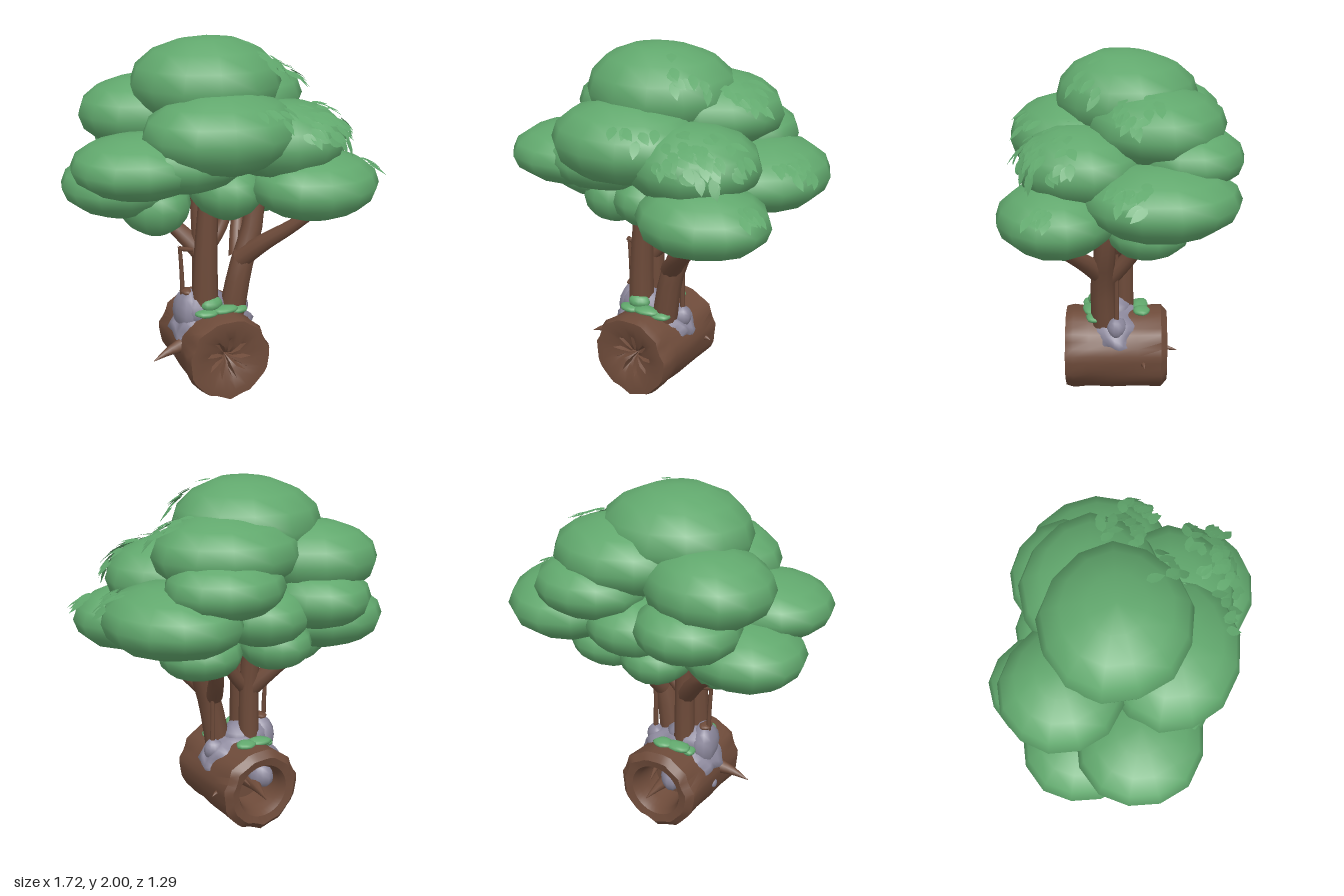
import * as THREE from 'three';
import { mergeVertices, mergeGeometries, toCreasedNormals } from 'three/addons/utils/BufferGeometryUtils.js';

const V = (a) => new THREE.Vector3(...a);

export function createModel() {
  const group = new THREE.Group();
  const mat = (name, color, side = THREE.FrontSide) => {
    const m = new THREE.MeshStandardMaterial({ color, side });
    m.name = name;
    return m;
  };
  const green = mat('leaf green', 0x61a86d, THREE.DoubleSide);
  const brown = mat('bark brown', 0x6e4b3a);
  const grey = mat('stone grey', 0x8c889c, THREE.DoubleSide);

  let seed = 7;
  const rand = () => (seed = (seed * 16807) % 2147483647) / 2147483647;

  const add = (name, geometry, material, parent = group) => {
    const m = new THREE.Mesh(geometry, material);
    m.name = name;
    parent.add(m);
    return m;
  };

  // Rounded low-poly lump, gently uneven
  const lump = (name, c, r, material, parent, wobble = 0.03) => {
    let g = new THREE.SphereGeometry(1, 13, 8);
    g.deleteAttribute('uv');
    g.deleteAttribute('normal');
    g = mergeVertices(g, 1e-4);
    const p = g.attributes.position;
    const phase = c[0] * 9 + c[1] * 5 + c[2] * 7;
    for (let i = 0; i < p.count; i++) {
      const v = new THREE.Vector3().fromBufferAttribute(p, i);
      const k = 1 + wobble * Math.sin(3 * v.x + phase) * Math.cos(4 * v.z - phase);
      p.setXYZ(i, c[0] + v.x * r[0] * k, c[1] + v.y * r[1] * k, c[2] + v.z * r[2] * k);
    }
    g.computeVertexNormals();
    return add(name, g, material, parent);
  };

  // Tapering limb along a smooth path
  const limb = (name, pts, r0, r1, parent, sides = 10, steps = 8) => {
    const curve = new THREE.CatmullRomCurve3(pts.map(V));
    const g = new THREE.TubeGeometry(curve, steps, 1, sides);
    const p = g.attributes.position;
    for (let i = 0; i < p.count; i++) {
      const t = Math.floor(i / (sides + 1)) / steps;
      const c = curve.getPointAt(t);
      const v = new THREE.Vector3().fromBufferAttribute(p, i).sub(c);
      v.multiplyScalar(r0 + (r1 - r0) * t).add(c);
      p.setXYZ(i, v.x, v.y, v.z);
    }
    return add(name, g, brown, parent);
  };

  // Canopy clumps: centre, radii
  const crown = {
    topClump: [[-0.05, 1.745, -0.03], [0.42, 0.255, 0.39]],
    upperBackClump: [[0.16, 1.64, -0.19], [0.41, 0.21, 0.37]],
    frontClump: [[-0.07, 1.53, 0.26], [0.43, 0.22, 0.35]],
    frontLeftClump: [[0.29, 1.46, 0.2], [0.37, 0.21, 0.34]],
    midFrontClump: [[-0.25, 1.39, 0.2], [0.33, 0.17, 0.3]],
    lowFrontLeftClump: [[0.44, 1.22, 0.32], [0.36, 0.185, 0.32]],
    rightClump: [[-0.49, 1.37, 0.17], [0.37, 0.17, 0.33]],
    upperRightClump: [[-0.36, 1.57, -0.25], [0.35, 0.205, 0.32]],
    lowRightClump: [[-0.5, 1.2, -0.13], [0.35, 0.18, 0.32]],
    backRightClump: [[-0.31, 1.38, -0.36], [0.28, 0.17, 0.29]],
    leftClump: [[0.49, 1.33, -0.21], [0.36, 0.19, 0.42]],
    backClump: [[0.27, 1.5, -0.36], [0.32, 0.17, 0.29]],
    midBackClump: [[0.03, 1.32, -0.36], [0.25, 0.16, 0.23]],
    underRightClump: [[-0.35, 1.09, -0.04], [0.2, 0.17, 0.22]],
    underFrontClump: [[0.0, 1.19, 0.12], [0.2, 0.17, 0.25]],
    underLeftClump: [[0.3, 1.1, -0.15], [0.23, 0.145, 0.23]],
    underBackClump: [[-0.08, 1.14, -0.3], [0.2, 0.14, 0.2]],
  };
  const canopy = new THREE.Group();
  canopy.name = 'canopy';
  group.add(canopy);
  for (const [name, [c, r]] of Object.entries(crown)) lump(name, c, r, green, canopy);

  // Pointed, curved leaves lying over a clump around a chosen direction
  const leafShape = () => {
    const s = new THREE.Shape();
    s.moveTo(0, 0);
    s.quadraticCurveTo(0.055, 0.03, 0, 0.11);
    s.quadraticCurveTo(-0.055, 0.03, 0, 0);
    const g = new THREE.ShapeGeometry(s, 4);
    const p = g.attributes.position;
    for (let i = 0; i < p.count; i++) p.setZ(i, -1.5 * p.getY(i) ** 2);
    g.computeVertexNormals();
    return g;
  };
  const leaves = (clump, dir, spread, count) => {
    const [c, r] = crown[clump].map(V);
    const parts = [];
    for (let i = 0; i < count; i++) {
      const d = V(dir).normalize();
      d.add(new THREE.Vector3(rand() - 0.5, rand() - 0.5, rand() - 0.5).multiplyScalar(spread)).normalize();
      const n = d.clone().divide(r).normalize();
      const tip = new THREE.Vector3(0.6 + 0.9 * (rand() - 0.5), -0.5, 0.3 + 1.2 * (rand() - 0.5));
      tip.addScaledVector(n, -tip.dot(n)).normalize().addScaledVector(n, 0.25).normalize();
      const x = tip.clone().cross(n).normalize();
      const z = x.clone().cross(tip);
      const at = d.clone().multiply(r).add(c).addScaledVector(n, 0.004);
      const m = new THREE.Matrix4().makeBasis(x, tip, z).setPosition(at);
      parts.push(leafShape().scale(1, 0.75 + 0.3 * rand(), 1).applyMatrix4(m));
    }
    add(clump + 'Leaves', mergeGeometries(parts), green, canopy);
  };
  leaves('topClump', [0.6, 0.6, 0.4], 0.6, 9);
  leaves('upperBackClump', [0.72, 0.65, 0.3], 0.7, 20);
  leaves('frontLeftClump', [0.4, 0.7, 0.55], 1.1, 42);
  leaves('frontClump', [0.5, 0.6, 0.6], 0.5, 7);
  leaves('lowFrontLeftClump', [0.7, 0.65, 0.2], 0.5, 9);
  leaves('leftClump', [0.62, 0.65, 0.4], 0.6, 20);

  // Trunks and branches
  const wood = new THREE.Group();
  wood.name = 'trunks';
  group.add(wood);
  limb('rightTrunk', [[-0.11, 0.42, 0.09], [-0.105, 0.75, 0.09], [-0.08, 1.25, 0.09]], 0.08, 0.05, wood);
  limb('leftTrunk', [[0.05, 0.42, 0.09], [0.1, 0.7, 0.1], [0.18, 0.95, 0.08], [0.22, 1.25, 0.04]], 0.075, 0.05, wood);
  limb('backTrunk', [[-0.09, 0.42, -0.02], [-0.09, 0.8, -0.02], [-0.1, 1.2, -0.05]], 0.06, 0.05, wood);
  limb('leftBranch', [[0.1, 0.76, 0.1], [0.2, 0.87, 0.19], [0.31, 0.97, 0.28], [0.41, 1.07, 0.36]], 0.06, 0.03, wood);
  limb('rightBranch', [[-0.09, 0.78, -0.01], [-0.17, 0.87, -0.07], [-0.27, 0.97, -0.14], [-0.38, 1.03, -0.21]], 0.06, 0.03, wood);
  limb('backBranch', [[0.1, 0.75, 0.05], [0.14, 0.88, -0.05], [0.2, 1.05, -0.16]], 0.05, 0.035, wood);
  limb('innerBranch', [[-0.08, 0.78, 0.0], [0.02, 0.9, -0.02], [0.1, 1.08, -0.04]], 0.04, 0.03, wood);

  // Thin hanging twigs
  limb('rightTwig', [[-0.22, 0.5, 0.03], [-0.225, 0.7, 0.03], [-0.235, 0.85, 0.03]], 0.014, 0.011, wood, 6, 4);
  limb('rightTwigTop', [[-0.245, 0.84, 0.03], [-0.21, 0.83, 0.03], [-0.16, 0.82, 0.03]], 0.014, 0.012, wood, 6, 4);
  limb('leftTwig', [[0.13, 0.44, 0.02], [0.125, 0.65, 0.02], [0.13, 0.9, 0.02]], 0.015, 0.012, wood, 6, 4);

  // Fallen log: hollow at the back, a face with radial cracks at the front
  const cx = -0.04, cy = 0.25;
  const profile = [
    [0, -0.05], [0.125, -0.05], [0.13, -0.15], [0.135, -0.22], [0.155, -0.26], [0.2, -0.27],
    [0.238, -0.235], [0.234, -0.1], [0.238, 0.05], [0.234, 0.18], [0.242, 0.27], [0.23, 0.315],
    [0.19, 0.315], [0.13, 0.3], [0.075, 0.285], [0.03, 0.265], [0, 0.2],
  ].map(([r, z]) => new THREE.Vector2(r, z));
  let log = new THREE.LatheGeometry(profile, 36).rotateX(Math.PI / 2);
  log.deleteAttribute('uv');
  log.deleteAttribute('normal');
  log = mergeVertices(log, 1e-4);
  const lp = log.attributes.position;
  for (let i = 0; i < lp.count; i++) {
    let x = lp.getX(i), y = lp.getY(i), z = lp.getZ(i);
    const r = Math.hypot(x, y), a = Math.atan2(y, x);
    if (r > 0.17) {
      const rim = Math.abs(z - 0.02) > 0.23 ? 0.04 : 0.012;
      const k = 1 + rim * Math.sin(11 * a) * (0.6 + 0.4 * Math.sin(3 * a)) + 0.015 * Math.sin(5 * a + 8 * z);
      x *= k;
      y *= k;
    } else if (z > 0.22 && r > 0.02 && r < 0.1 && Math.round(a / (Math.PI / 18) + 36) % 4 === 0) {
      z -= 0.05;
    }
    lp.setXYZ(i, x + cx, y + cy, z);
  }
  add('log', toCreasedNormals(log, 0.8), brown);

  // Broken branch spikes
  const spikes = [
    ['sideSpike', [-0.25, 0.29, 0.11], [-0.43, 0.23, 0.14], 0.045],
    ['hollowSpike', [-0.05, 0.26, -0.08], [-0.02, 0.23, -0.33], 0.055],
    ['innerSpike', [0.05, 0.32, -0.05], [0.02, 0.28, -0.22], 0.03],
    ['leftNub', [0.17, 0.24, -0.13], [0.22, 0.23, -0.14], 0.022],
  ];
  for (const [name, a, b, r] of spikes) {
    const mid = V(a).lerp(V(b), 0.5).add(new THREE.Vector3(0, 0.008, 0));
    limb(name, [a, mid.toArray(), b], r, 0.002, group, 8, 5);
  }

  // Stone draped over the log from side to side, with ragged edges
  const drape = new THREE.CylinderGeometry(0.25, 0.25, 1, 22, 6, true, 0, 1);
  const dp = drape.attributes.position;
  for (let i = 0; i < dp.count; i++) {
    const u = (i % 23) / 22, w = Math.floor(i / 23) / 6;
    const a = 0.33 + u * 2.6 + 0.07 * Math.sin(w * 7);
    const edge = w === 0 || w === 1 || u === 0 || u === 1;
    const r = edge ? 0.225 : 0.26 + 0.008 * Math.sin(u * 17 + w * 5);
    const z = 0.12 + 0.04 * u - (0.18 + 0.08 * u) * w + (w - 0.5) * 0.04 * Math.sin(u * 22);
    dp.setXYZ(i, cx + r * Math.cos(a), cy + r * Math.sin(a), z);
  }
  drape.computeVertexNormals();
  add('stoneDrape', drape, grey);
  lump('stoneShoulder', [-0.19, 0.46, 0.04], [0.08, 0.13, 0.11], grey, group, 0.1);
  lump('stoneMound', [-0.11, 0.48, 0.05], [0.15, 0.1, 0.125], grey, group, 0.1);
  lump('stoneLeft', [0.12, 0.44, 0.02], [0.06, 0.06, 0.06], grey, group, 0.1);
  lump('stoneChip', [-0.272, 0.22, 0.02], [0.012, 0.025, 0.025], grey, group, 0.1);
  lump('hollowStone', [-0.09, 0.3, -0.14], [0.07, 0.08, 0.09], grey, group, 0.1);
  lump('stoneCap', [-0.2, 0.58, 0.04], [0.035, 0.018, 0.05], brown, group, 0.1);

  // Moss pads at the trunk feet
  const moss = [
    [[-0.09, 0.525, 0.14], [0.065, 0.04, 0.05]],
    [[-0.12, 0.487, 0.17], [0.075, 0.022, 0.05]],
    [[-0.02, 0.495, 0.17], [0.08, 0.022, 0.05]],
    [[0.06, 0.478, 0.15], [0.065, 0.022, 0.05]],
    [[-0.1, 0.487, -0.11], [0.08, 0.024, 0.05]],
    [[-0.01, 0.49, -0.12], [0.06, 0.022, 0.05]],
    [[-0.16, 0.465, -0.09], [0.04, 0.024, 0.04]],
  ];
  moss.forEach(([c, r], i) => lump('mossPad' + (i + 1), c, r, green, group, 0.1));

  return group;
}
